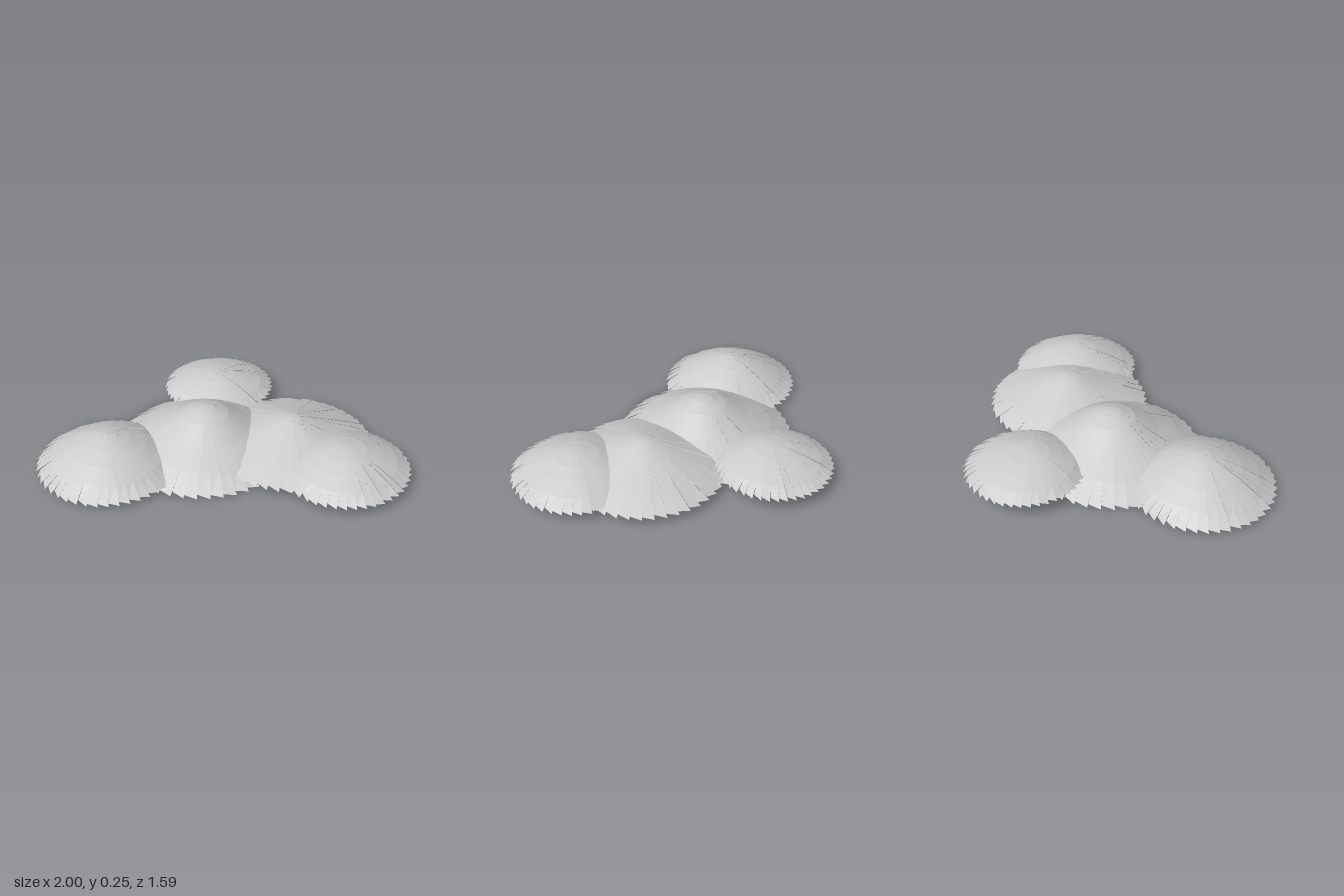
import * as THREE from 'three';

// Seeded random numbers for the uneven thatch
function seeded(seed) {
  let s = seed;
  return () => (s = (s * 16807) % 2147483647) / 2147483647;
}

// x, z: centre; r: rim radius; profile: [share of radius, height] from peak to rim
const canopies = [
  { name: 'centralCanopy', x: -0.18, z: 0.04, r: 0.5, peak: [0.02, 0],
    profile: [[0, 0.26], [0.1, 0.253], [0.25, 0.225], [0.5, 0.15], [0.75, 0.083], [1, 0.016]] },
  { name: 'frontRightCanopy', x: -0.6, z: 0.39, r: 0.4, peak: [0, 0],
    profile: [[0, 0.21], [0.12, 0.204], [0.3, 0.183], [0.52, 0.145], [0.76, 0.092], [1, 0.04]] },
  { name: 'middleLeftCanopy', x: 0.3, z: -0.075, r: 0.458, peak: [0, 0],
    profile: [[0, 0.225], [0.1, 0.218], [0.25, 0.195], [0.5, 0.149], [0.75, 0.104], [1, 0.062]] },
  { name: 'outerLeftCanopy', x: 0.632, z: 0.065, r: 0.367, peak: [0, 0],
    profile: [[0, 0.197], [0.12, 0.193], [0.32, 0.178], [0.55, 0.147], [0.78, 0.109], [1, 0.07]] },
  { name: 'backCanopy', x: -0.275, z: -0.475, r: 0.328, peak: [0, 0.04],
    profile: [[0, 0.19], [0.12, 0.187], [0.32, 0.176], [0.55, 0.152], [0.78, 0.122], [1, 0.09]] },
];

// Thatched shell: radial strips, each ending in one slanted tooth at the rim
function thatch({ r, peak, profile }, seed) {
  const rand = seeded(seed);
  const strips = 44, pos = [];
  for (let i = 0; i < strips; i++) {
    const lift = rand() > 0.75 ? 0.005 * rand() : 0;
    const tooth = 0.012 + 0.016 * rand();
    // Point on one edge (side 0 or 1) of the strip
    const point = (k, side) => {
      const [t, y] = profile[k];
      const a = ((i + side) / strips) * Math.PI * 2;
      const end = k === profile.length - 1 ? 1 : 0;
      const d = r * t - end * side * tooth;
      return [
        Math.cos(a) * d + peak[0] * (1 - t),
        y + (side ? lift * t : 0) - end * (1 - side) * 0.008,
        Math.sin(a) * d + peak[1] * (1 - t),
      ];
    };
    for (let k = 0; k < profile.length - 1; k++) {
      const a = point(k, 0), b = point(k, 1), c = point(k + 1, 1), d = point(k + 1, 0);
      if (k > 0) pos.push(...a, ...b, ...c);
      pos.push(...a, ...c, ...d);
    }
  }
  const geo = new THREE.BufferGeometry();
  geo.setAttribute('position', new THREE.Float32BufferAttribute(pos, 3));
  geo.computeVertexNormals();
  return geo;
}

export function createModel() {
  const group = new THREE.Group();
  group.name = 'thatchedCanopies';
  const material = new THREE.MeshStandardMaterial({
    color: 0xcccccc, flatShading: true, side: THREE.DoubleSide,
  });
  canopies.forEach((c, i) => {
    const mesh = new THREE.Mesh(thatch(c, 101 + i * 977), material);
    mesh.name = c.name;
    mesh.position.set(c.x, 0, c.z);
    group.add(mesh);
  });
  // Rest the lowest tooth on the ground
  group.children.forEach((m) => (m.position.y -= 0.008));
  return group;
}
